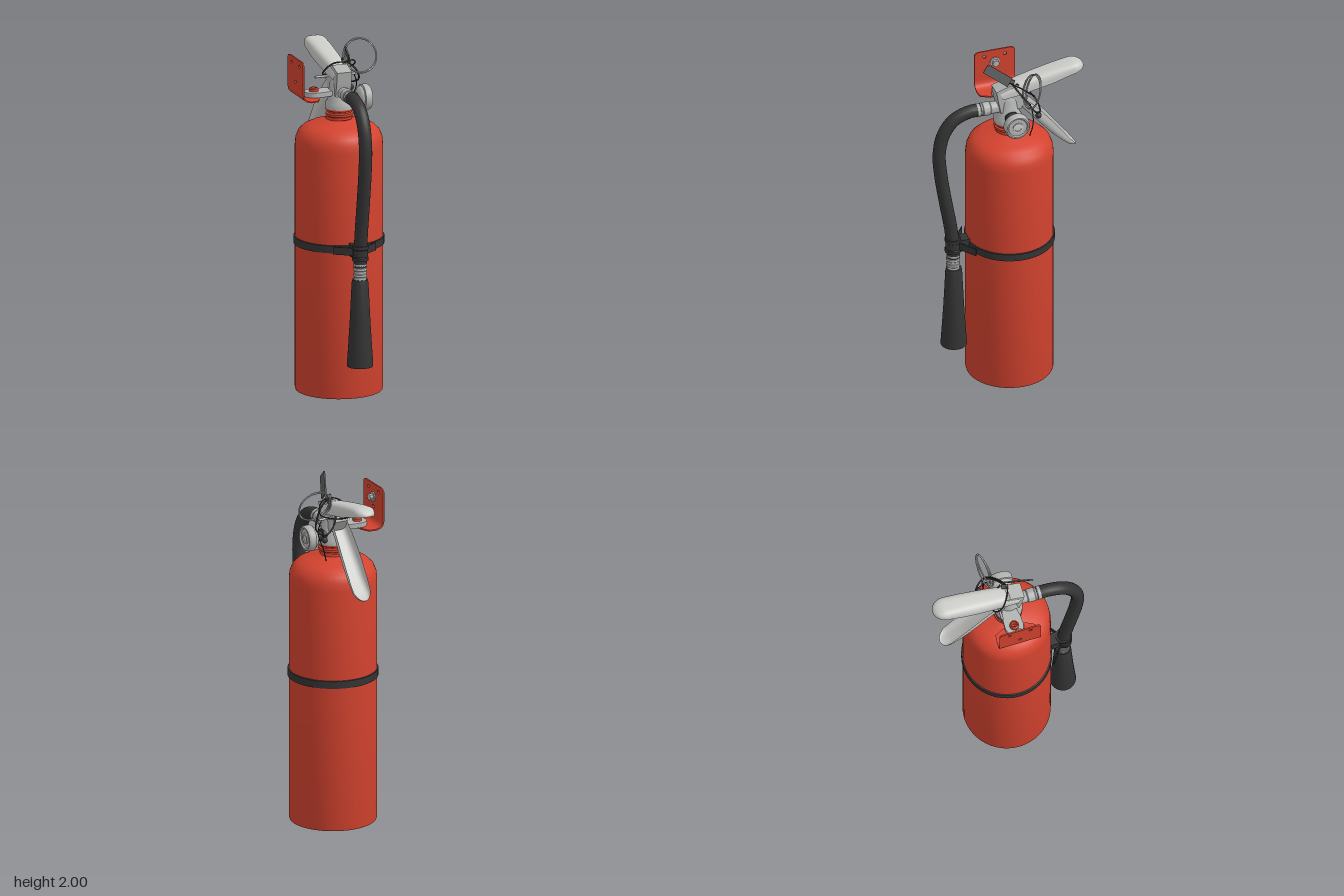
import * as THREE from 'three';
import { toCreasedNormals } from 'three/addons/utils/BufferGeometryUtils.js';

const V = (x, y, z) => new THREE.Vector3(x, y, z);

export function createModel() {
  const root = new THREE.Group();
  root.name = 'fireExtinguisher';
  const material = (name, color, side = THREE.FrontSide) => {
    const m = new THREE.MeshStandardMaterial({ color, side });
    m.name = name;
    return m;
  };
  const red = material('red paint', 0xd4432f);
  const black = material('black rubber', 0x343434);
  const metal = material('valve metal', 0xb2b4b2);
  const silver = material('lever metal', 0xcbccc8, THREE.DoubleSide);
  const grey = material('tag grey', 0x5a5b5c);

  const add = (name, geo, mat, x = 0, y = 0, z = 0) => {
    const mesh = new THREE.Mesh(geo, mat);
    mesh.name = name;
    mesh.position.set(x, y, z);
    root.add(mesh);
    return mesh;
  };
  const lathe = (pts, seg = 48) => toCreasedNormals(
    new THREE.LatheGeometry(pts.map(p => new THREE.Vector2(...p)), seg), 0.6);
  const tube = (pts, r, seg = 40, sides = 8, closed = false) => new THREE.TubeGeometry(
    new THREE.CatmullRomCurve3(pts.map(p => V(...p)), closed), seg, r, sides, closed);
  const extrude = (shape, depth, bevel = 0) => new THREE.ExtrudeGeometry(shape, {
    depth, bevelEnabled: bevel > 0, bevelSize: bevel, bevelThickness: bevel, bevelSegments: 2, curveSegments: 12 });
  const circle = (x, y, r) => new THREE.Path().absarc(x, y, r, 0, Math.PI * 2, true);

  // Tank with recessed base, domed shoulder and threaded neck
  add('tank', lathe([[0, 0.045], [0.12, 0.04], [0.2, 0.03], [0.23, 0.025], [0.234, 0], [0.243, 0], [0.246, 0.012],
    [0.246, 1.41], [0.242, 1.45], [0.228, 1.485], [0.2, 1.512], [0.16, 1.53], [0.1, 1.545], [0.072, 1.556],
    [0.07, 1.57]]), red, 0, 0, -0.01);
  add('neckCollar', lathe([[0.07, 1.56], [0.07, 1.575], [0.078, 1.58], [0.078, 1.593], [0.068, 1.598],
    [0.068, 1.606], [0.078, 1.61], [0.078, 1.628], [0, 1.628]], 32), red);

  // Band and hose clip
  add('tankBand', lathe([[0.244, 0.84], [0.253, 0.842], [0.253, 0.884], [0.244, 0.886]]), black, 0, 0, -0.01);
  add('hoseClipBlock', new THREE.BoxGeometry(0.07, 0.07, 0.08), black, 0, 0.863, 0.27);
  add('hoseClip', lathe([[0.036, 0.82], [0.046, 0.82], [0.046, 0.838], [0.042, 0.842], [0.042, 0.882],
    [0.046, 0.886], [0.046, 0.905], [0.036, 0.905]], 24), black, 0, 0, 0.322);
  for (const s of [-1, 1]) {
    const strap = add('clipStrap', new THREE.BoxGeometry(0.006, 0.044, 0.13), black, s * 0.073, 0.863, 0.265);
    strap.rotation.y = -s * 0.95;
  }

  // Hose, ferrule and horn
  add('hose', tube([[0, 1.717, 0.16], [0, 1.715, 0.23], [0, 1.68, 0.315], [0, 1.6, 0.375], [0, 1.48, 0.402],
    [0, 1.34, 0.394], [0, 1.15, 0.365], [0, 0.98, 0.336], [0, 0.86, 0.322], [0, 0.78, 0.32]], 0.037, 60, 18), black);
  add('ferrule', lathe([[0.03, 0.7], [0.036, 0.705], [0.036, 0.725], [0.039, 0.729], [0.039, 0.742], [0.036, 0.746],
    [0.036, 0.76], [0.039, 0.764], [0.039, 0.778], [0.036, 0.782], [0.038, 0.8], [0.03, 0.802]], 24), metal, 0, 0, 0.32);
  add('horn', lathe([[0, 0.3], [0.05, 0.3], [0.066, 0.21], [0.073, 0.21], [0.073, 0.225], [0.058, 0.46],
    [0.047, 0.69], [0.042, 0.71], [0, 0.71]], 32), black, 0, 0, 0.317);

  // Valve body
  add('valveBase', lathe([[0, 1.62], [0.08, 1.62], [0.08, 1.65], [0.066, 1.675], [0.058, 1.76], [0.045, 1.79],
    [0, 1.79]], 24), metal);
  const head = new THREE.Shape([[-0.062, 1.71], [0.05, 1.7], [0.065, 1.77], [0.075, 1.835], [0.0, 1.86],
    [-0.075, 1.835], [-0.1, 1.77]].map(p => new THREE.Vector2(...p)));
  const headGeo = extrude(head, 0.08, 0.006);
  headGeo.rotateY(-Math.PI / 2);
  add('valveHead', headGeo, metal, 0.04, 0, 0);
  const outlet = add('hoseOutlet', lathe([[0, 0], [0.034, 0], [0.034, 0.075], [0.039, 0.08], [0.039, 0.12],
    [0.036, 0.124], [0.036, 0.134], [0.039, 0.138], [0.039, 0.155], [0, 0.155]], 24), metal, 0, 1.717, 0.03);
  outlet.rotation.x = Math.PI / 2;

  // Pressure gauge on the left side
  const gauge = new THREE.Group();
  gauge.name = 'gauge';
  gauge.position.set(0.04, 1.665, -0.003);
  gauge.rotation.z = -Math.PI / 2;
  const gaugeParts = [
    ['gaugeStem', [[0.04, 0], [0.04, 0.03], [0.028, 0.035], [0.028, 0.07], [0, 0.07]], black],
    ['gaugeCase', [[0, 0.065], [0.04, 0.065], [0.06, 0.078], [0.065, 0.09], [0.073, 0.094], [0.073, 0.125],
      [0.066, 0.136], [0.058, 0.136], [0.053, 0.128], [0, 0.128]], metal],
    ['gaugeHub', [[0.03, 0.127], [0.03, 0.134], [0.02, 0.135], [0.02, 0.13], [0, 0.13]], silver]];
  for (const [name, pts, mat] of gaugeParts) {
    const m = new THREE.Mesh(lathe(pts, 28), mat);
    m.name = name;
    gauge.add(m);
  }
  root.add(gauge);

  // Levers: rounded channels swept along a line; rows are [z, y, halfWidth, depth]
  const lever = (name, rows, tip) => {
    const n = 32, across = 20;
    const zy = new THREE.CatmullRomCurve3(rows.map(r => V(0, r[1], r[0])));
    const wd = new THREE.CatmullRomCurve3(rows.map(r => V(r[2], r[3], 0)));
    const geo = new THREE.PlaneGeometry(1, 1, across, n), pos = geo.attributes.position;
    for (let i = 0; i < pos.count; i++) {
      const t = 1 - (0.5 - pos.getY(i)) ** 2;
      const u = pos.getX(i) * Math.PI, p = zy.getPoint(t), w = wd.getPoint(t), tan = zy.getTangent(t);
      const k = t > 1 - tip ? Math.sqrt(Math.max(0, 1 - ((t - 1 + tip) / tip) ** 2)) : 1;
      const sx = Math.sign(u) * Math.abs(Math.sin(u)) ** 0.6;
      const drop = w.y * (1 - Math.abs(Math.cos(u)) ** 0.6 * k);
      pos.setXYZ(i, sx * w.x * k, p.y + tan.z * drop, p.z - tan.y * drop);
    }
    geo.computeVertexNormals();
    return add(name, geo, silver);
  };
  lever('upperLever', [[0.062, 1.835, 0.053, 0.05], [-0.03, 1.868, 0.057, 0.07], [-0.12, 1.89, 0.062, 0.07],
    [-0.22, 1.912, 0.065, 0.07], [-0.33, 1.932, 0.065, 0.058], [-0.437, 1.945, 0.063, 0.045]], 0.13);
  lever('lowerHandle', [[-0.03, 1.745, 0.045, -0.05], [-0.1, 1.67, 0.05, -0.06], [-0.19, 1.565, 0.055, -0.06],
    [-0.28, 1.465, 0.055, -0.05], [-0.385, 1.375, 0.05, -0.022]], 0.12);

  // Hanging lug and its red pin
  const lug = new THREE.Shape();
  lug.moveTo(-0.04, -0.035);
  lug.lineTo(-0.04, 0.035);
  lug.lineTo(-0.1, 0.048);
  lug.lineTo(-0.15, 0.05);
  lug.absarc(-0.15, 0, 0.05, Math.PI / 2, Math.PI * 1.5, false);
  lug.lineTo(-0.1, -0.048);
  lug.holes.push(circle(-0.15, 0, 0.028));
  const lugGeo = extrude(lug, 0.022, 0.004);
  lugGeo.rotateX(Math.PI / 2);
  add('hangingLug', lugGeo, metal, 0, 1.722, -0.012);
  add('hookPin', lathe([[0.026, 1.685], [0.026, 1.74], [0.018, 1.745], [0.018, 1.69]], 20), red, -0.15, 0, -0.012);

  // Wall bracket: back plate, bend and flange
  const plate = new THREE.Shape();
  plate.moveTo(-0.13, 1.745);
  plate.lineTo(0.11, 1.745);
  plate.lineTo(0.11, 1.895);
  plate.quadraticCurveTo(0.11, 1.925, 0.08, 1.925);
  plate.lineTo(-0.1, 1.925);
  plate.quadraticCurveTo(-0.13, 1.925, -0.13, 1.895);
  for (const [z, y] of [[0.05, 1.89], [-0.07, 1.89], [-0.01, 1.79]]) plate.holes.push(circle(z, y, 0.01));
  const plateGeo = extrude(plate, 0.008);
  plateGeo.rotateY(-Math.PI / 2);
  add('bracketPlate', plateGeo, red, -0.252, 0, 0);
  const bend = new THREE.Shape();
  bend.moveTo(-0.26, 1.746);
  bend.quadraticCurveTo(-0.26, 1.69, -0.2, 1.69);
  bend.lineTo(-0.2, 1.698);
  bend.quadraticCurveTo(-0.252, 1.698, -0.252, 1.746);
  add('bracketBend', extrude(bend, 0.24), red, 0, 0, -0.13);
  const flange = new THREE.Shape([[-0.2, -0.13], [-0.165, -0.125], [-0.14, -0.075], [-0.14, 0.055], [-0.165, 0.105],
    [-0.2, 0.11]].map(p => new THREE.Vector2(...p)));
  flange.holes.push(circle(-0.15 - 0.015, -0.012, 0.02));
  const flangeGeo = extrude(flange, 0.008);
  flangeGeo.rotateX(Math.PI / 2);
  add('bracketFlange', flangeGeo, red, 0, 1.698, 0);
  const bolt = add('bracketBolt', lathe([[0, 0], [0.03, 0], [0.03, 0.007], [0.02, 0.009], [0.02, 0.028],
    [0, 0.03]], 8), metal, -0.252, 1.848, -0.01);
  bolt.rotation.z = -Math.PI / 2;

  // Pull pin with double split ring
  const pin = add('pullPin', new THREE.CylinderGeometry(0.007, 0.007, 0.24, 10), metal, 0, 1.787, -0.07);
  pin.rotation.z = Math.PI / 2;
  for (const s of [-1, 1]) {
    const ring = add('pullRing', new THREE.TorusGeometry(0.096, 0.0045, 8, 40), metal, 0.158, 1.88, -0.093 + s * 0.005);
    ring.rotation.set(-0.36, s * 0.05, 0);
  }

  // Seal cable and tag
  add('sealCable', tube([[0.01, 1.9, 0], [0.08, 1.85, -0.03], [0.13, 1.8, -0.07], [0.155, 1.74, -0.11],
    [0.12, 1.72, -0.15], [0.06, 1.77, -0.14], [0.03, 1.82, -0.09], [0.05, 1.88, -0.03]], 0.005, 60, 6), black);
  add('sealLoop', tube([[0.03, 1.88, 0], [-0.03, 1.87, -0.02], [-0.07, 1.82, -0.06], [-0.06, 1.79, -0.1],
    [0.06, 1.8, -0.12], [0.13, 1.83, -0.11], [0.1, 1.87, -0.05]], 0.004, 50, 6, true), black);
  add('hangingWire', tube([[0.12, 1.78, -0.09], [0.14, 1.72, -0.1], [0.11, 1.62, -0.11], [0.09, 1.55, -0.1]],
    0.003, 24, 6), black);
  add('sealKnot', new THREE.SphereGeometry(0.018, 10, 8), black, 0.12, 1.69, -0.14);
  const tag = add('sealTag', new THREE.BoxGeometry(0.16, 0.055, 0.008), grey, 0.022, 1.935, 0.066);
  const along = V(0.055, -0.085, -0.125).normalize();
  const face = along.clone().cross(V(0.01, -0.05, 0.035)).normalize();
  tag.quaternion.setFromRotationMatrix(new THREE.Matrix4().makeBasis(along, face.clone().cross(along), face));
  const crimp = add('tagCrimp', new THREE.BoxGeometry(0.03, 0.025, 0.025), grey, 0.03, 1.885, -0.012);
  crimp.quaternion.copy(tag.quaternion);

  // Sit the model on the ground and centre it
  const box = new THREE.Box3().setFromObject(root, true);
  root.position.y = -box.min.y;
  return root;
}
